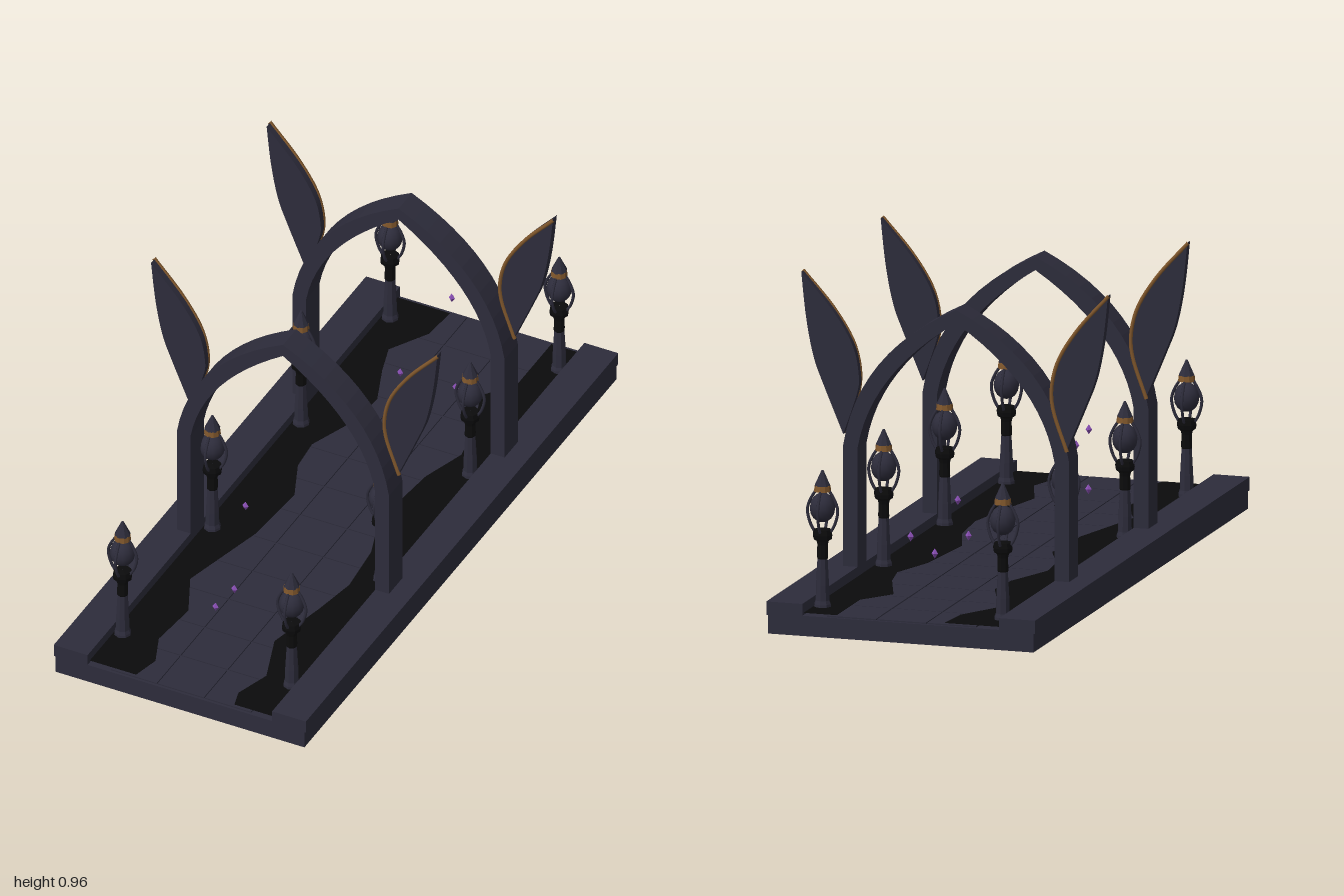
import * as THREE from 'three';

const mat = (name, color) => {
  const m = new THREE.MeshStandardMaterial({ color });
  m.name = name;
  return m;
};

// Faceted normals for low-sided parts
const faceted = (geo) => {
  const g = geo.index ? geo.toNonIndexed() : geo;
  g.computeVertexNormals();
  return g;
};

export function createModel() {
  const stone = mat('slate stone', 0x2d2c3b);
  const black = mat('black', 0x0b0b0c);
  const bronze = mat('bronze', 0x80572c);
  const violet = mat('violet crystal', 0x8a4fb5);

  const model = new THREE.Group();
  model.name = 'archedWalkway';

  const add = (parent, name, geo, material, x = 0, y = 0, z = 0) => {
    const mesh = new THREE.Mesh(geo, material);
    mesh.name = name;
    mesh.position.set(x, y, z);
    parent.add(mesh);
    return mesh;
  };
  const vec2 = (pts) => pts.map(([x, y]) => new THREE.Vector2(x, y));

  // Base slab and raised curbs
  add(model, 'baseSlab', new THREE.BoxGeometry(0.81, 0.06, 2), stone, 0, 0.03, 0);
  for (const s of [-1, 1]) {
    add(model, 'curb', new THREE.BoxGeometry(0.11, 0.04, 2), stone, s * 0.355, 0.075, 0);
  }

  // Paving: three columns of thin tiles
  const paving = new THREE.Group();
  paving.name = 'paving';
  model.add(paving);
  const tileGeo = new THREE.BoxGeometry(0.149, 0.005, 0.149);
  for (let row = -6; row <= 6; row++) {
    for (let col = -1; col <= 1; col++) {
      add(paving, 'tile', tileGeo, stone, col * 0.153, 0.0615, row * 0.153);
    }
  }

  // Black wavy borders: inner edge given as [x, z]
  const leftEdge = [[-0.13, -0.985], [-0.14, -0.87], [-0.21, -0.75], [-0.18, -0.65], [-0.13, -0.52], [-0.14, -0.4],
    [-0.2, -0.24], [-0.19, -0.13], [-0.135, 0], [-0.15, 0.22], [-0.19, 0.38], [-0.22, 0.5],
    [-0.155, 0.64], [-0.17, 0.8], [-0.13, 0.9], [-0.15, 0.985]];
  const rightEdge = [[0.2, -0.985], [0.2, -0.77], [0.13, -0.67], [0.19, -0.5], [0.21, -0.39], [0.165, -0.25],
    [0.15, -0.1], [0.14, 0], [0.19, 0.15], [0.205, 0.32], [0.18, 0.46], [0.135, 0.66],
    [0.19, 0.82], [0.155, 0.93], [0.17, 0.985]];
  for (const [side, edge] of [[-1, leftEdge], [1, rightEdge]]) {
    const shape = new THREE.Shape();
    shape.moveTo(side * 0.3, 0.985);
    shape.lineTo(side * 0.3, -0.985);
    for (const [x, z] of [...edge].reverse().map(([x, z]) => [x, -z])) shape.lineTo(x, z);
    const geo = new THREE.ExtrudeGeometry(shape, { depth: 0.001, bevelEnabled: false });
    geo.rotateX(-Math.PI / 2);
    add(model, 'wavyBorder', geo, black, 0, 0.0655, 0);
  }

  // Pointed arch outline
  const archShape = new THREE.Shape();
  archShape.moveTo(-0.345, 0.06);
  archShape.lineTo(-0.345, 0.45);
  archShape.quadraticCurveTo(-0.3, 0.735, 0, 0.88);
  archShape.quadraticCurveTo(0.3, 0.735, 0.345, 0.45);
  archShape.lineTo(0.345, 0.06);
  archShape.lineTo(0.3, 0.06);
  archShape.lineTo(0.3, 0.45);
  archShape.quadraticCurveTo(0.26, 0.675, 0, 0.84);
  archShape.quadraticCurveTo(-0.26, 0.675, -0.3, 0.45);
  archShape.lineTo(-0.3, 0.06);
  const archGeo = new THREE.ExtrudeGeometry(archShape, { depth: 0.085, bevelEnabled: false, curveSegments: 12 });

  // Leaf-shaped wing with a bronze strip along its inner edge
  const inner = [[0.344, 0.487], [0.302, 0.61], [0.297, 0.67], [0.316, 0.753], [0.375, 0.85], [0.472, 0.96]];
  const outer = [[0.472, 0.96], [0.457, 0.825], [0.434, 0.71], [0.4, 0.62], [0.344, 0.487]];
  const wingShape = new THREE.Shape();
  wingShape.moveTo(...inner[0]);
  wingShape.splineThru(vec2(inner.slice(1)));
  wingShape.splineThru(vec2(outer.slice(1)));
  const wingGeo = new THREE.ExtrudeGeometry(wingShape, { depth: 0.025, bevelEnabled: false, curveSegments: 16 });
  const trimPath = new THREE.CatmullRomCurve3(inner.map(([x, y]) => new THREE.Vector3(x + 0.003, y, 0.025)));
  const trimGeo = new THREE.TubeGeometry(trimPath, 24, 0.006, 6);

  for (const z of [0.2975, -0.4425]) {
    const arch = new THREE.Group();
    arch.name = 'archway';
    arch.position.z = z - 0.0425;
    model.add(arch);
    add(arch, 'arch', archGeo, stone);
    for (const turn of [0, Math.PI]) {
      const wing = new THREE.Group();
      wing.name = turn ? 'rightWing' : 'leftWing';
      wing.rotation.y = turn;
      arch.add(wing);
      add(wing, 'wingBlade', wingGeo, stone);
      add(wing, 'wingTrim', trimGeo, bronze);
    }
  }

  // Lamp post pieces
  const lathe = (pts) => faceted(new THREE.LatheGeometry(vec2(pts), 8));
  const postGeo = lathe([[0.001, 0.062], [0.026, 0.062], [0.025, 0.074], [0.021, 0.085], [0.02, 0.13], [0.0155, 0.21]]);
  const collarGeo = lathe([[0.0155, 0.208], [0.017, 0.212], [0.016, 0.25], [0.019, 0.262], [0.028, 0.268],
    [0.03, 0.28], [0.026, 0.295], [0.001, 0.296]]);
  const globeGeo = new THREE.SphereGeometry(0.038, 12, 8);
  globeGeo.scale(1, 1.15, 1);
  const bandGeo = faceted(new THREE.CylinderGeometry(0.023, 0.025, 0.018, 10));
  const capGeo = faceted(new THREE.CylinderGeometry(0.003, 0.024, 0.046, 8));
  const armPath = new THREE.CatmullRomCurve3([[0.024, 0.288], [0.036, 0.308], [0.046, 0.345], [0.044, 0.365], [0.032, 0.392], [0.02, 0.41]]
    .map(([x, y]) => new THREE.Vector3(x, y, 0)));
  const armGeo = new THREE.TubeGeometry(armPath, 12, 0.0045, 6);

  for (const x of [-0.275, 0.275]) {
    for (const z of [0.825, 0.25, -0.318, -0.888]) {
      const lamp = new THREE.Group();
      lamp.name = 'lampPost';
      lamp.position.set(x, 0, z);
      model.add(lamp);
      add(lamp, 'post', postGeo, stone);
      add(lamp, 'collar', collarGeo, black);
      add(lamp, 'globe', globeGeo, stone, 0, 0.36, 0);
      add(lamp, 'band', bandGeo, bronze, 0, 0.417, 0);
      add(lamp, 'cap', capGeo, stone, 0, 0.448, 0);
      for (let i = 0; i < 4; i++) {
        add(lamp, 'cageArm', armGeo, stone).rotation.y = i * Math.PI / 2;
      }
    }
  }

  // Floating crystals
  const crystalGeo = new THREE.OctahedronGeometry(0.01);
  crystalGeo.scale(1, 1.5, 1);
  const crystals = [[-0.055, 0.238, -0.85], [-0.04, 0.213, -0.49], [0.13, 0.203, -0.51], [0.153, 0.2, 0],
    [0.015, 0.228, 0.68], [0.017, 0.248, 0.805], [-0.157, 0.197, 0.27]];
  for (const p of crystals) add(model, 'crystal', crystalGeo, violet, ...p);

  return model;
}
